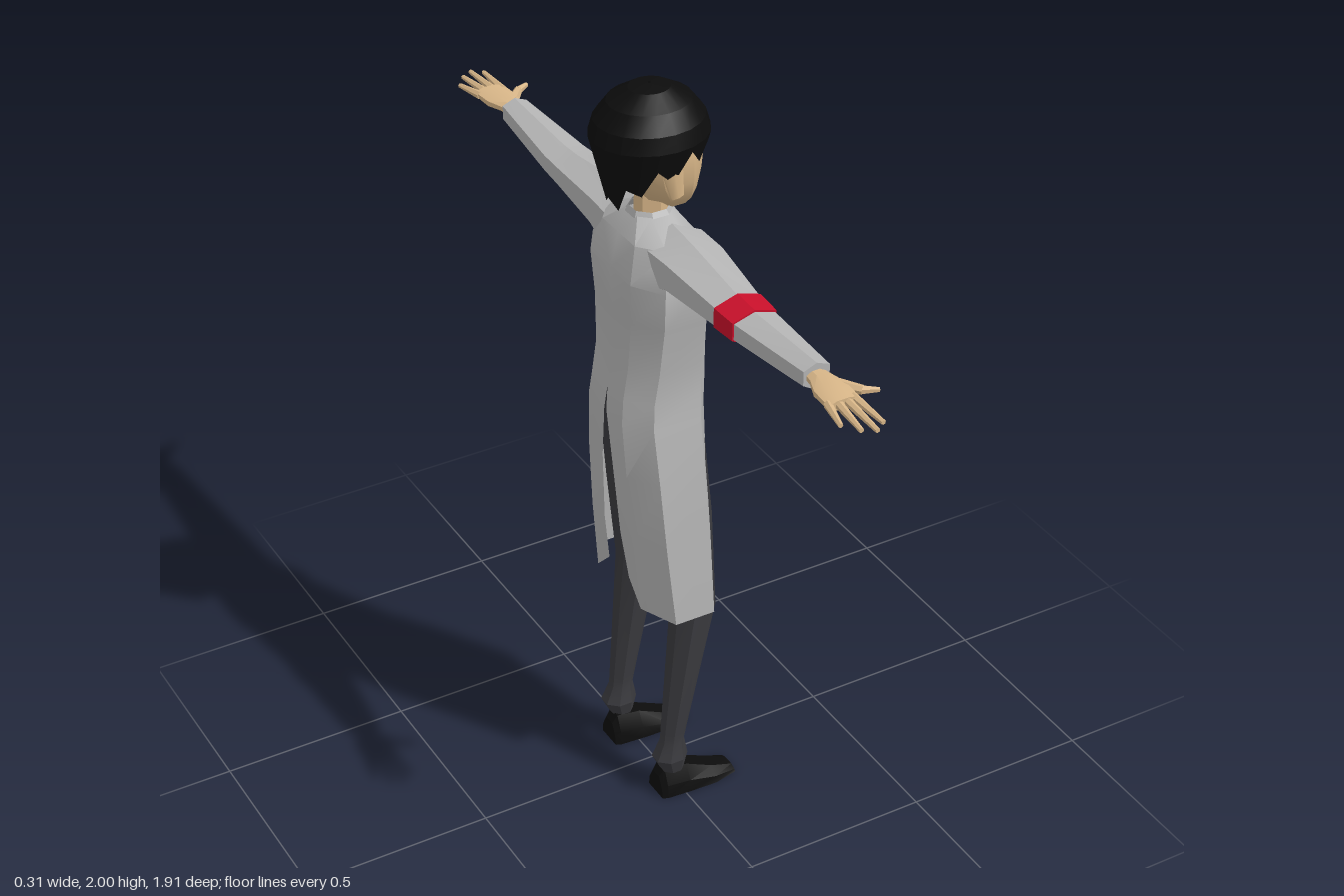
import * as THREE from 'three';
import { toCreasedNormals } from 'three/addons/utils/BufferGeometryUtils.js';

const mat = (color, side = THREE.FrontSide) => new THREE.MeshStandardMaterial({ color, side });
const COAT = mat(0xb4b4b4, THREE.DoubleSide), SKIN = mat(0xd8b688), HAIR = mat(0x0c0c0c, THREE.DoubleSide);
const CLOTH = mat(0x3a3a3e), SHOE = mat(0x0c0c0c), RED = mat(0xc8102a);

// Skin a row of cross-sections; faces are turned outward by checking the enclosed volume
function loft(rings, { closed = true, caps = true, crease = 0.45 } = {}) {
  const n = rings[0].length, pos = rings.flat(2), idx = [];
  for (let r = 0; r < rings.length - 1; r++) {
    for (let i = 0; i < (closed ? n : n - 1); i++) {
      const j = (i + 1) % n, a = r * n + i, b = r * n + j;
      idx.push(a, b, b + n, a, b + n, a + n);
    }
  }
  if (caps) {
    for (const [r, flip] of [[0, true], [rings.length - 1, false]]) {
      const c = pos.length / 3;
      for (let k = 0; k < 3; k++) pos.push(rings[r].reduce((s, p) => s + p[k], 0) / n);
      for (let i = 0; i < n; i++) {
        const a = r * n + i, b = r * n + (i + 1) % n;
        idx.push(...(flip ? [c, b, a] : [c, a, b]));
      }
    }
  }
  const mid = new THREE.Vector3();
  const v = i => new THREE.Vector3().fromArray(pos, i * 3).sub(mid);
  const count = pos.length / 3, sum = new THREE.Vector3();
  for (let i = 0; i < count; i++) sum.add(v(i));
  mid.copy(sum.divideScalar(count));
  let vol = 0;
  for (let i = 0; i < idx.length; i += 3) vol += v(idx[i]).dot(v(idx[i + 1]).cross(v(idx[i + 2])));
  if (vol < 0) idx.reverse();
  const g = new THREE.BufferGeometry();
  g.setAttribute('position', new THREE.Float32BufferAttribute(pos, 3));
  g.setIndex(idx);
  return toCreasedNormals(g, crease);
}

// Horizontal oval section between x limits, around z = cz
function oval(y, xb, xf, cz, hz, n = 8, turn = 0.5) {
  return Array.from({ length: n }, (_, i) => {
    const a = (i + turn) / n * Math.PI * 2, k = 1 / Math.cos(turn * Math.PI * 2 / n);
    return [(xb + xf) / 2 + Math.cos(a) * k * (xf - xb) / 2, y, cz + Math.sin(a) * k * hz];
  });
}

// Six-sided sleeve section with a ridge on top
function sleeveRing(s, [z, top, bot, w]) {
  const h = top - bot;
  return [[0, top], [w, top - h * 0.2], [w, bot + h * 0.28], [0, bot], [-w, bot + h * 0.28], [-w, top - h * 0.2]]
    .map(([x, y]) => [x + 0.003, y, s * z]);
}

export function createModel() {
  const root = new THREE.Group();
  const add = (name, geo, material, parent = root) => {
    const m = new THREE.Mesh(geo, material);
    m.name = name;
    parent.add(m);
    return m;
  };
  // Tapered rod between two points
  const rod = (name, a, b, r0, r1, material) => {
    const A = new THREE.Vector3(...a), B = new THREE.Vector3(...b), d = B.clone().sub(A);
    const m = add(name, toCreasedNormals(new THREE.CylinderGeometry(r1, r0, d.length(), 6), 0.4), material);
    m.position.copy(A).add(B).multiplyScalar(0.5);
    m.quaternion.setFromUnitVectors(new THREE.Vector3(0, 1, 0), d.normalize());
  };

  // Coat halves: y, back x, front x, half width, front slit, back slit
  const coatRows = [
    [1.675, -0.06, 0.04, 0.05, 0, 0], [1.63, -0.095, 0.07, 0.14, 0, 0], [1.54, -0.118, 0.092, 0.175, 0, 0],
    [1.43, -0.112, 0.1, 0.16, 0, 0], [1.3, -0.115, 0.1, 0.142, 0, 0], [1.215, -0.128, 0.1, 0.14, 0, 0],
    [1.15, -0.135, 0.095, 0.15, 0.02, 0.005], [1.0, -0.13, 0.095, 0.172, 0.03, 0.025],
    [0.8, -0.118, 0.105, 0.187, 0.04, 0.04], [0.6, -0.1, 0.11, 0.2, 0.05, 0.05],
  ];
  const hem = [0.07, 0, -0.01, -0.01, 0, 0.06];
  for (const s of [1, -1]) {
    const rings = coatRows.map(([y, xb, xf, w, gf, gb], r) => {
      const c = r === 0 ? 0.025 : 0.05;
      return [[xf, gf], [xf - 0.003, w * 0.55], [xf - c, w], [xb + c, w], [xb, w * 0.55], [xb, gb]]
        .map(([x, z], i) => [x, y + (r === coatRows.length - 1 ? hem[i] : 0), s * z]);
    });
    add('coatHalf', loft(rings, { closed: false, caps: false, crease: 0.6 }), COAT);

    // Sleeve
    const sleeve = [[0.08, 1.665, 1.47, 0.08], [0.18, 1.655, 1.525, 0.077], [0.38, 1.626, 1.538, 0.058],
      [0.45, 1.622, 1.542, 0.054], [0.71, 1.632, 1.562, 0.034]];
    add('sleeve', loft(sleeve.map(r => sleeveRing(s, r))), COAT);

    // Hand with four fingers and a thumb
    const palm = [[0.69, -0.02, 0.022, 0.014], [0.73, -0.026, 0.03, 0.014], [0.77, -0.042, 0.038, 0.016], [0.835, -0.046, 0.034, 0.012]];
    add('hand', loft(palm.map(([z, xb, xf, h]) => oval(0, xb, xf, 0, h, 8).map(([x, , t]) => [x, 1.6 + t, s * z]))), SKIN);
    const tips = [[-0.038, -0.056, 0.9], [-0.016, -0.028, 0.938], [0.006, 0.002, 0.955], [0.026, 0.03, 0.935]];
    for (const [x0, x1, z] of tips) rod('finger', [x0, 1.6, s * 0.82], [x1, 1.597, s * z], 0.011, 0.006, SKIN);
    rod('thumbBase', [0.02, 1.598, s * 0.755], [0.062, 1.596, s * 0.805], 0.015, 0.011, SKIN);
    rod('thumbTip', [0.06, 1.596, s * 0.803], [0.095, 1.596, s * 0.822], 0.011, 0.006, SKIN);

    // Trouser leg with a gathered cuff
    const leg = [[1.2, -0.09, 0.08, 0.066, 0.066], [1.06, -0.09, 0.08, 0.078, 0.077], [0.85, -0.06, 0.088, 0.107, 0.068],
      [0.58, -0.022, 0.088, 0.138, 0.05], [0.2, -0.05, 0.012, 0.135, 0.03], [0.17, -0.052, 0.006, 0.135, 0.029],
      [0.12, -0.074, 0.014, 0.135, 0.04], [0.075, -0.052, 0.006, 0.135, 0.028]];
    add('trouserLeg', loft(leg.map(([y, xb, xf, cz, hz]) => oval(y, xb, xf, s * cz, hz))), CLOTH);

    // Shoe, sectioned from heel to toe: x, half width, height
    const shoe = [[-0.065, 0.036, 0.06], [-0.05, 0.042, 0.082], [0.015, 0.047, 0.074], [0.09, 0.05, 0.038], [0.155, 0.036, 0.012]];
    add('shoe', loft(shoe.map(([x, w, h]) => [[0, -w], [0, w], [h * 0.45, w * 0.9], [h, w * 0.45], [h, -w * 0.45], [h * 0.45, -w * 0.9]]
      .map(([y, z]) => [x, y, s * (0.125 + z)]))), SHOE);

    // Ear
    const ear = add('ear', new THREE.CylinderGeometry(0.03, 0.018, 0.075, 6), SKIN);
    ear.scale.z = 0.4;
    ear.position.set(-0.005, 1.785, s * 0.106);
    ear.rotation.z = 0.2;
  }

  // Armband
  add('armband', loft([[0.375, 1.631, 1.533, 0.062], [0.45, 1.627, 1.537, 0.058]].map(r => sleeveRing(1, r))), RED);

  // Hips and the belt end showing above the slit
  add('hips', loft([oval(1.23, -0.1, 0.08, 0, 0.12), oval(1.15, -0.1, 0.082, 0, 0.12), oval(1.06, -0.06, 0.05, 0, 0.06)]), CLOTH);
  add('beltBuckle', new THREE.BoxGeometry(0.03, 0.025, 0.036), RED).position.set(0.09, 1.203, 0);

  // Chest pocket
  const pocket = add('chestPocket', new THREE.BoxGeometry(0.022, 0.09, 0.046), COAT);
  pocket.position.set(0.09, 1.505, -0.104);
  pocket.rotation.set(0.06, 0.3, 0);

  // Neck, collar and head
  add('neck', loft([oval(1.62, -0.045, 0.03, 0, 0.036, 6), oval(1.75, -0.04, 0.035, 0, 0.036, 6)]), SKIN);
  add('collar', loft([oval(1.645, -0.075, 0.055, 0, 0.075), oval(1.685, -0.058, 0.036, 0, 0.045)], { caps: false }), COAT);
  const head = [[1.678, 0.01, 0.09, 0.032], [1.712, -0.03, 0.1, 0.068], [1.77, -0.08, 0.104, 0.1],
    [1.85, -0.11, 0.11, 0.109], [1.93, -0.1, 0.08, 0.09]];
  add('head', loft(head.map(([y, xb, xf, w]) => oval(y, xb, xf, 0, w))), SKIN);
  add('nose', loft([[[0.1, 1.84, -0.006], [0.1, 1.84, 0.006], [0.112, 1.838, 0]],
    [[0.1, 1.772, -0.016], [0.1, 1.772, 0.016], [0.125, 1.778, 0]]]), SKIN);

  // Hair: domed shell with a jagged rim, longest at the nape
  const rim = [1.865, 1.83, 1.86, 1.82, 1.865, 1.79, 1.83, 1.76, 1.775, 1.705, 1.73], N = 20;
  const hairRing = (scale, height) => Array.from({ length: N }, (_, i) => {
    const a = i / N * Math.PI * 2, y = height ?? rim[Math.min(i, N - i)];
    const k = scale ?? 1 - (1.88 - y) * 1.7;
    return [-0.012 + Math.cos(a) * 0.147 * k, y, Math.sin(a) * 0.132 * k];
  });
  const hair = [hairRing(0.02, 2), hairRing(0.35, 1.992), hairRing(0.7, 1.962), hairRing(0.92, 1.92), hairRing(1, 1.88), hairRing()];
  add('hair', loft(hair, { caps: false, crease: 0.3 }), HAIR);

  return root;
}
